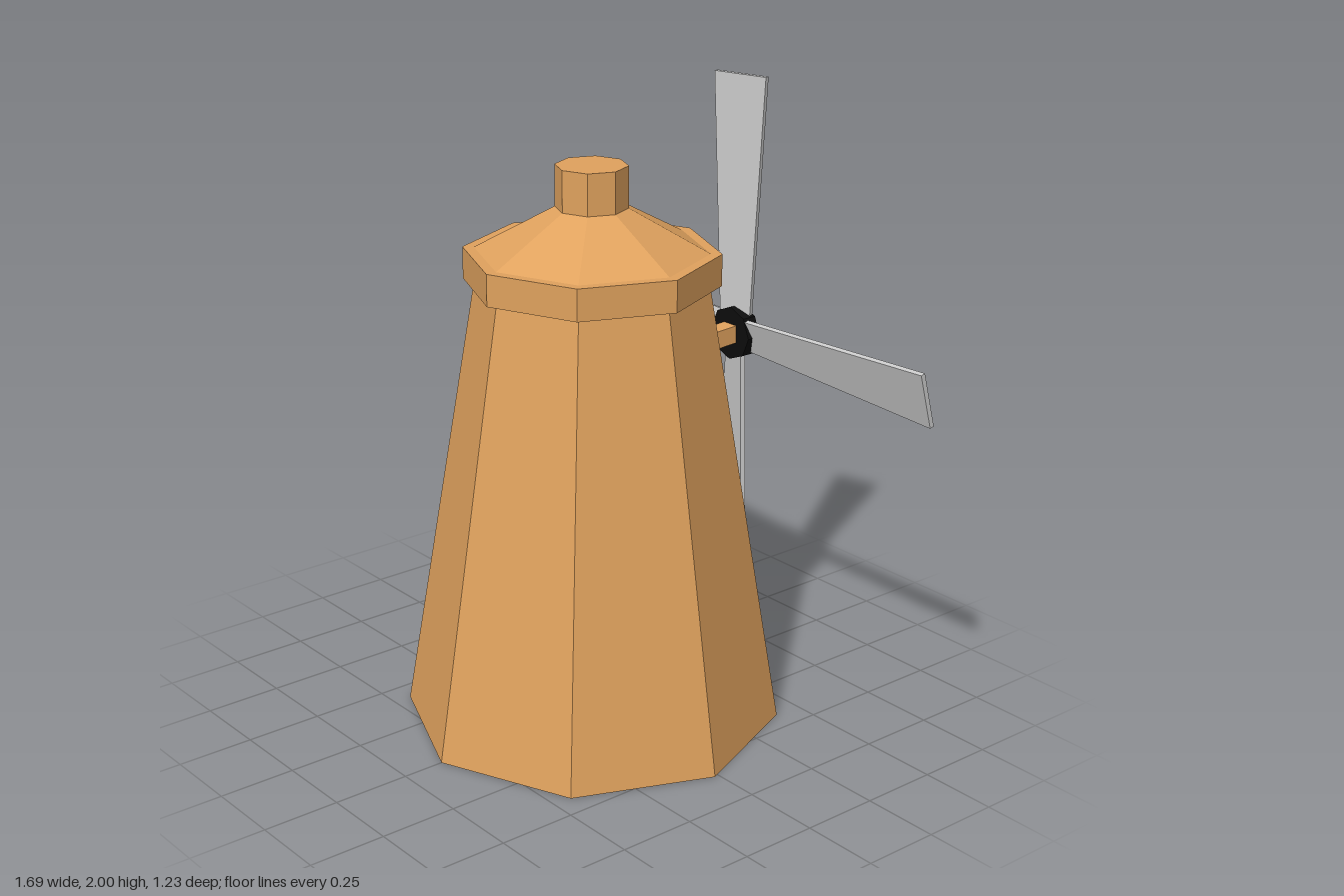
import * as THREE from 'three';

const wood = new THREE.MeshStandardMaterial({ color: 0xe0a25e, flatShading: true });
const black = new THREE.MeshStandardMaterial({ color: 0x0d0d0d, flatShading: true });
const grey = new THREE.MeshStandardMaterial({ color: 0xcccccc, flatShading: true });

const CENTRE_Z = 0.015; // axis of the tower
const HUB_Y = 1.157, HUB_Z = -0.583;

function part(name, geometry, material) {
  const mesh = new THREE.Mesh(geometry, material);
  mesh.name = name;
  return mesh;
}

// Eight-sided solid from a [radius, height] profile, corners on the axes
function octagonal(name, profile) {
  const points = profile.map(([r, y]) => new THREE.Vector2(r, y));
  const mesh = part(name, new THREE.LatheGeometry(points, 8), wood);
  mesh.position.z = CENTRE_Z;
  return mesh;
}

// Flat blade along +x, widening towards the tip and pitched about its length
function bladeGeometry() {
  const start = 0.03, tip = 0.843;
  const g = new THREE.BoxGeometry(tip - start, 1, 0.016);
  g.translate((start + tip) / 2, 0, 0);
  const p = g.attributes.position;
  for (let i = 0; i < p.count; i++) {
    const halfWidth = THREE.MathUtils.mapLinear(p.getX(i), start, tip, 0.054, 0.093);
    p.setY(i, Math.sign(p.getY(i)) * halfWidth);
  }
  g.rotateX(0.28);
  return g;
}

// Square beam that drops a little towards the tower
function axleGeometry() {
  const front = -0.35, back = -0.565, bend = -0.47;
  const g = new THREE.BoxGeometry(0.058, 0.058, front - back, 1, 1, 2);
  const p = g.attributes.position;
  for (let i = 0; i < p.count; i++) {
    const z = p.getZ(i);
    const along = z > 0.01 ? front : z < -0.01 ? back : bend;
    const lift = along === front ? 1.133 : along === bend ? 1.155 : 1.16;
    p.setY(i, p.getY(i) + lift);
    p.setZ(i, along);
  }
  return g;
}

export function createModel() {
  const model = new THREE.Group();
  model.name = 'windmill';

  // Tower, roof and chimney-like cap
  model.add(octagonal('tower', [[0, 0], [0.6, 0], [0.36, 1.44], [0, 1.44]]));
  model.add(octagonal('roof', [[0, 1.44], [0.395, 1.44], [0.395, 1.54], [0.36, 1.54], [0.112, 1.675], [0, 1.675]]));
  model.add(octagonal('roofCap', [[0, 1.67], [0.112, 1.67], [0.112, 1.805], [0, 1.805]]));

  // Axle
  model.add(part('axle', axleGeometry(), wood));

  // Sails on the back: hub and four pitched blades
  const sails = new THREE.Group();
  sails.name = 'sails';
  sails.position.set(0, HUB_Y, HUB_Z);
  const hub = part('hub', new THREE.CylinderGeometry(0.088, 0.088, 0.05, 8), black);
  hub.rotation.x = Math.PI / 2;
  sails.add(hub);
  const geometry = bladeGeometry();
  for (let i = 0; i < 4; i++) {
    const blade = part('blade' + (i + 1), geometry, grey);
    blade.rotation.z = (i * Math.PI) / 2;
    sails.add(blade);
  }
  model.add(sails);

  return model;
}
